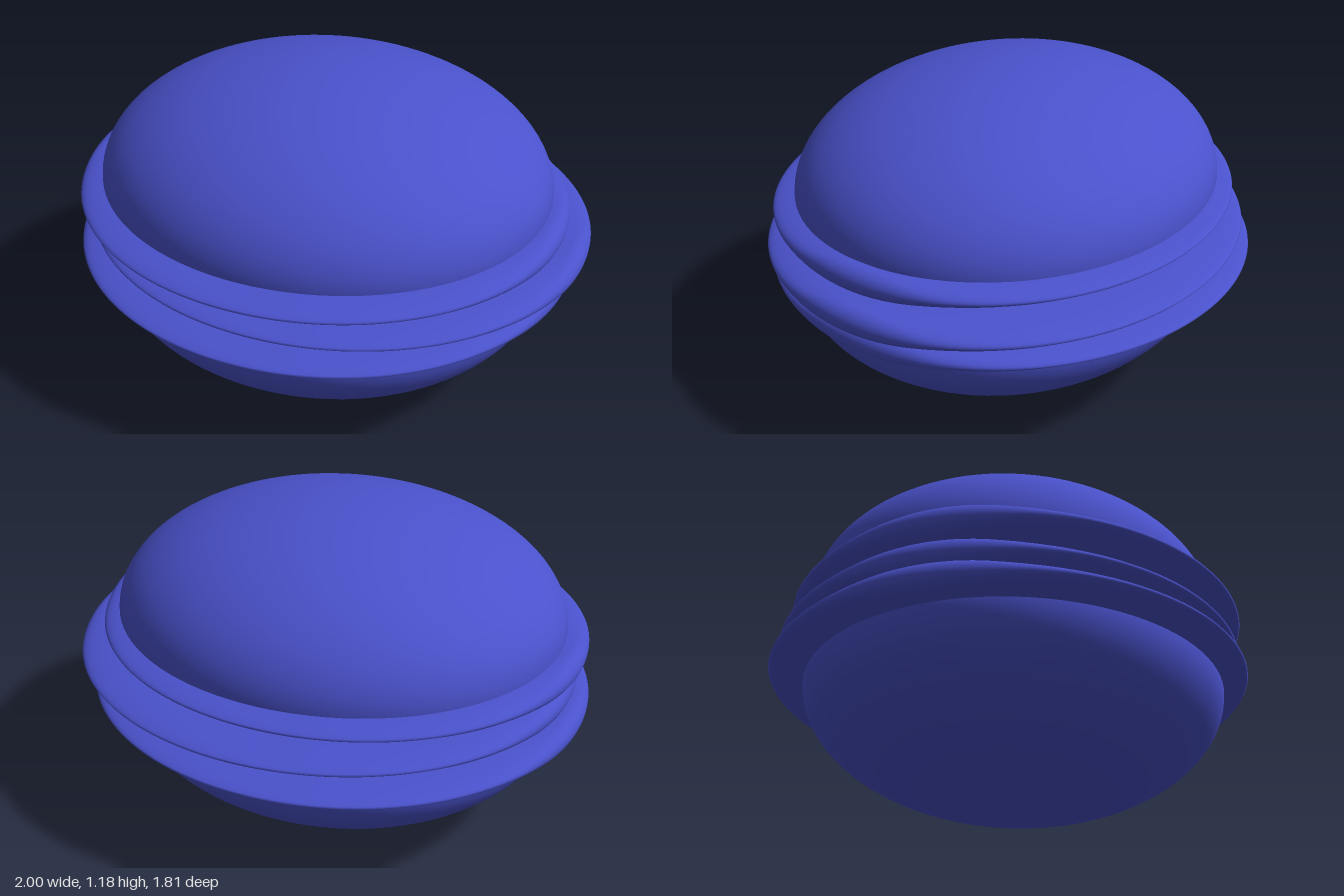
import * as THREE from 'three';
import { mergeVertices } from 'three/addons/utils/BufferGeometryUtils.js';

const material = new THREE.MeshStandardMaterial({ color: 0x4a52cc });

// Half ellipsoid closed by a flat disc; up = 1 for a dome, -1 for a bowl
function halfShell(name, up, x, y, z, rx, ry, rz) {
  const group = new THREE.Group();
  group.name = name;
  const dome = new THREE.SphereGeometry(1, 96, 32, 0, Math.PI * 2, 0, Math.PI / 2);
  const disc = new THREE.CircleGeometry(1, 96).rotateX(Math.PI / 2);
  for (const geometry of [dome, disc]) {
    if (up < 0) geometry.rotateX(Math.PI);
    geometry.scale(rx, ry, rz);
    group.add(new THREE.Mesh(geometry, material));
  }
  group.children[0].name = name + 'Shell';
  group.children[1].name = name + 'Face';
  group.position.set(x, y, z);
  return group;
}

// Oval layer: full thickness along x with round ends, thinning to a sharp rim along z
function layer(name, x, y, z, rx, rz, h) {
  let geometry = new THREE.SphereGeometry(1, 64, 96).rotateZ(Math.PI / 2);
  geometry.deleteAttribute('uv');
  geometry.deleteAttribute('normal');
  geometry = mergeVertices(geometry, 1e-5);
  const p = geometry.attributes.position;
  for (let i = 0; i < p.count; i++) {
    const s = Math.hypot(p.getY(i), p.getZ(i));
    const depth = Math.min(1, rx * (1 - Math.abs(p.getX(i))) / h);
    const half = h * Math.sqrt(Math.max(0, 1 - (1 - depth) ** 2));
    const side = s > 1e-6 ? p.getY(i) / s : 0;
    p.setXYZ(i, p.getX(i) * rx, side * half, p.getZ(i) * rz);
  }
  geometry.computeVertexNormals();
  const mesh = new THREE.Mesh(geometry, material);
  mesh.name = name;
  mesh.position.set(x, y, z);
  return mesh;
}

export function createModel() {
  const model = new THREE.Group();
  model.name = 'layeredBun';
  model.add(
    halfShell('topBun', 1, -0.023, 0.75, 0.02, 0.873, 0.433, 0.78),
    halfShell('bottomBun', -1, -0.023, 0.422, 0.022, 0.873, 0.422, 0.793),
    // Three fillings, shifted alternately to each side
    layer('upperFilling', -0.028, 0.698, 0.037, 0.947, 0.855, 0.053),
    layer('middleFilling', 0.023, 0.588, -0.008, 0.975, 0.88, 0.053),
    layer('lowerFilling', -0.028, 0.478, 0.002, 0.972, 0.907, 0.053)
  );
  return model;
}
